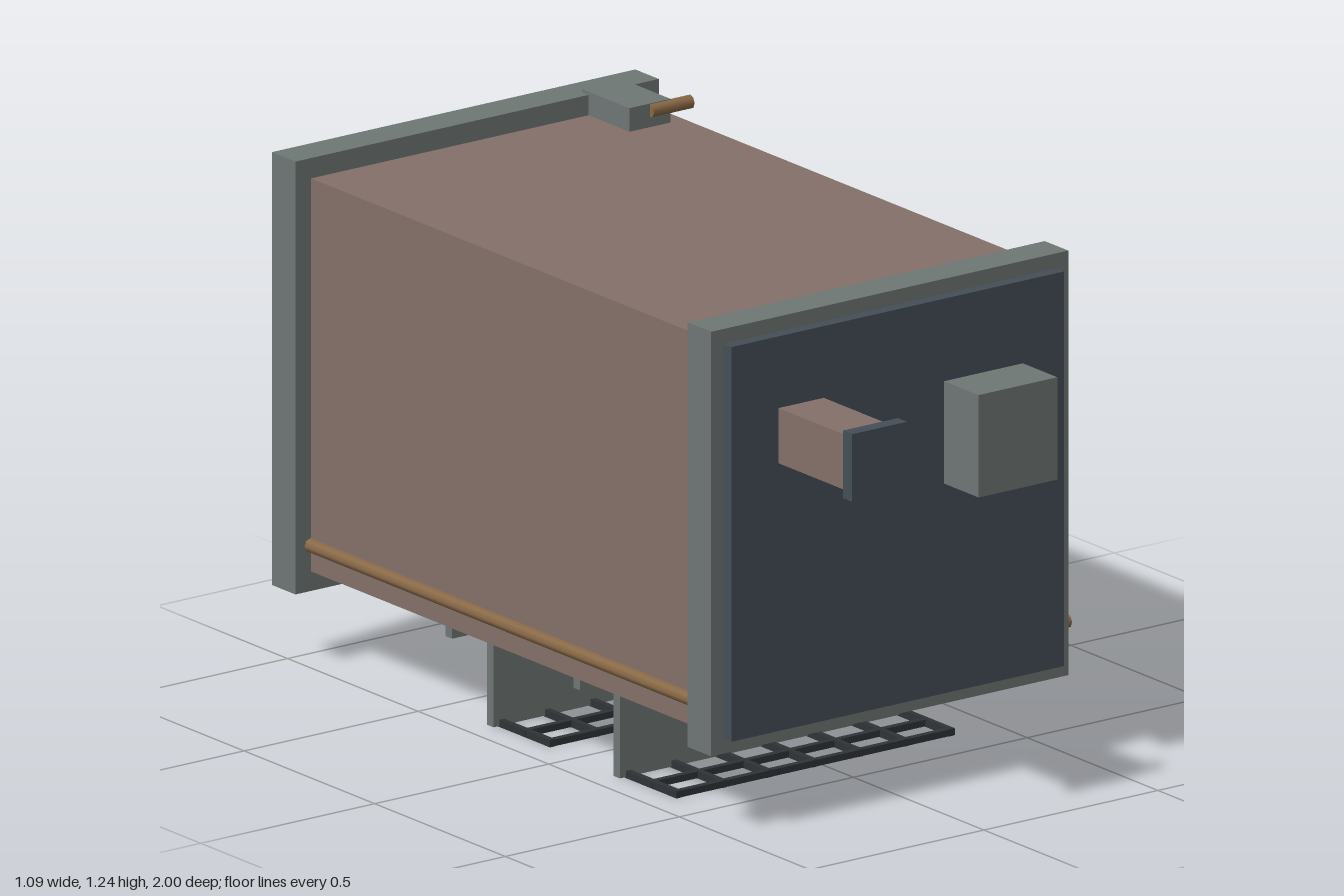
import * as THREE from 'three';

const mat = (name, color) => {
  const m = new THREE.MeshStandardMaterial({ color });
  m.name = name;
  return m;
};

export function createModel() {
  const root = new THREE.Group();
  root.name = 'apartmentBlock';

  const brick = mat('brick', 0x85706a);
  const stone = mat('stone', 0x6f7775);
  const slate = mat('slate', 0x454f58);
  const copper = mat('copper', 0x8a6a48);
  const iron = mat('iron', 0x303437);
  const glass = mat('glass', 0x2f4850);
  const frame = mat('windowFrame', 0x647a7e);
  const doorPaint = mat('doorPaint', 0x2b2f3a);

  const CX = -0.023; // centre line of the block
  const WALL = 0.235; // facade plane, facing down

  // Box given by its limits on each axis
  const box = (name, m, x0, x1, y0, y1, z0, z1, parent = root) => {
    const mesh = new THREE.Mesh(new THREE.BoxGeometry(x1 - x0, y1 - y0, z1 - z0), m);
    mesh.position.set((x0 + x1) / 2, (y0 + y1) / 2, (z0 + z1) / 2);
    mesh.name = name;
    parent.add(mesh);
    return mesh;
  };
  // Pipe along x or z
  const pipe = (name, axis, length, x, y, z, r = 0.017) => {
    const g = new THREE.CylinderGeometry(r, r, length, 8);
    if (axis === 'x') g.rotateZ(Math.PI / 2);
    else g.rotateX(Math.PI / 2);
    const mesh = new THREE.Mesh(g, copper);
    mesh.position.set(x, y, z);
    mesh.name = name;
    root.add(mesh);
  };

  // Main block, plinth, cornice and roof
  box('walls', brick, -0.5, 0.455, WALL, 1.183, -0.92, 0.59);
  box('plinth', stone, -0.545, 0.499, 0.188, 1.232, -1, -0.91);
  box('cornice', stone, -0.536, 0.49, 0.198, 1.222, 0.58, 0.67);
  box('roof', slate, -0.5, 0.455, 0.234, 1.186, 0.66, 0.7);

  // Roof fittings
  box('chimney', brick, -0.365, -0.235, 0.88, 1.013, 0.69, 0.97);
  box('chimneyCap', slate, -0.379, -0.221, 0.866, 1.029, 0.965, 1);
  box('roofVent', stone, 0.111, 0.337, 0.74, 0.987, 0.69, 0.832);

  // Drainpipes, spouts and the rear wall box
  for (const s of [-1, 1]) pipe('drainpipe', 'z', 1.5, CX + s * 0.479, 0.299, -0.165);
  pipe('spout', 'x', 0.117, 0.4845, 0.301, 0.597);
  box('wallBox', stone, 0.297, 0.415, 1.17, 1.24, -0.935, -0.753);
  pipe('wallBoxPipe', 'x', 0.117, 0.4145, 1.222, -0.755);

  // Storey bands across the facade
  for (const z of [0.557, 0.082, -0.408])
    box('storeyBand', stone, CX - 0.458, CX + 0.458, 0.2, WALL + 0.01, z - 0.0125, z + 0.0125);

  // Window: pane, surrounding frame, cross bars and sill
  const addWindow = (x, z) => {
    const g = new THREE.Group();
    g.name = 'window';
    g.position.set(x, 0, z);
    root.add(g);
    const w = 0.1, h = 0.125, t = 0.014;
    box('pane', glass, -w, w, 0.22, WALL + 0.005, -h, h, g);
    for (const s of [-1, 1]) {
      box('sideFrame', frame, s * w - t / 2, s * w + t / 2, 0.21, WALL, -h, h, g);
      box('endFrame', frame, -w, w, 0.21, WALL, s * h - t / 2, s * h + t / 2, g);
    }
    box('verticalBar', frame, -t / 2, t / 2, 0.212, WALL, -h, h, g);
    box('crossBar', frame, -w, w, 0.212, WALL, -t / 2, t / 2, g);
    box('sill', frame, -w - 0.01, w + 0.01, 0.203, WALL, -h - 0.012, -h + 0.008, g);
  };
  for (const z of [0.373, -0.109])
    for (const dx of [-0.275, 0, 0.275]) addWindow(CX + dx, z);
  for (const dx of [-0.275, 0.275]) addWindow(CX + dx, -0.6);

  // Entrance door with lintel and lamp
  box('door', doorPaint, CX - 0.13, CX + 0.13, 0.215, WALL + 0.005, -0.91, -0.615);
  box('doorLintel', stone, CX - 0.14, CX + 0.14, 0.21, WALL, -0.615, -0.6);
  pipe('doorLamp', 'x', 0.07, -0.165, 0.214, -0.543, 0.018);

  // Balconies with railings
  for (const z of [0.18, -0.304]) {
    const b = new THREE.Group();
    b.name = 'balcony';
    b.position.z = z;
    root.add(b);
    box('balconyFloor', stone, CX - 0.417, CX + 0.417, 0.005, WALL + 0.005, -0.0125, 0.0125, b);
    for (const rz of [0.105, 0.198])
      box('rail', iron, CX - 0.4, CX + 0.4, 0.003, 0.019, rz - 0.008, rz + 0.008, b);
    for (let i = 0; i < 7; i++) {
      const x = CX - 0.392 + (i * 0.784) / 6;
      box('railPost', iron, x - 0.007, x + 0.007, 0.002, 0.02, 0, 0.205, b);
    }
  }

  root.position.y = -0.002;
  return root;
}
